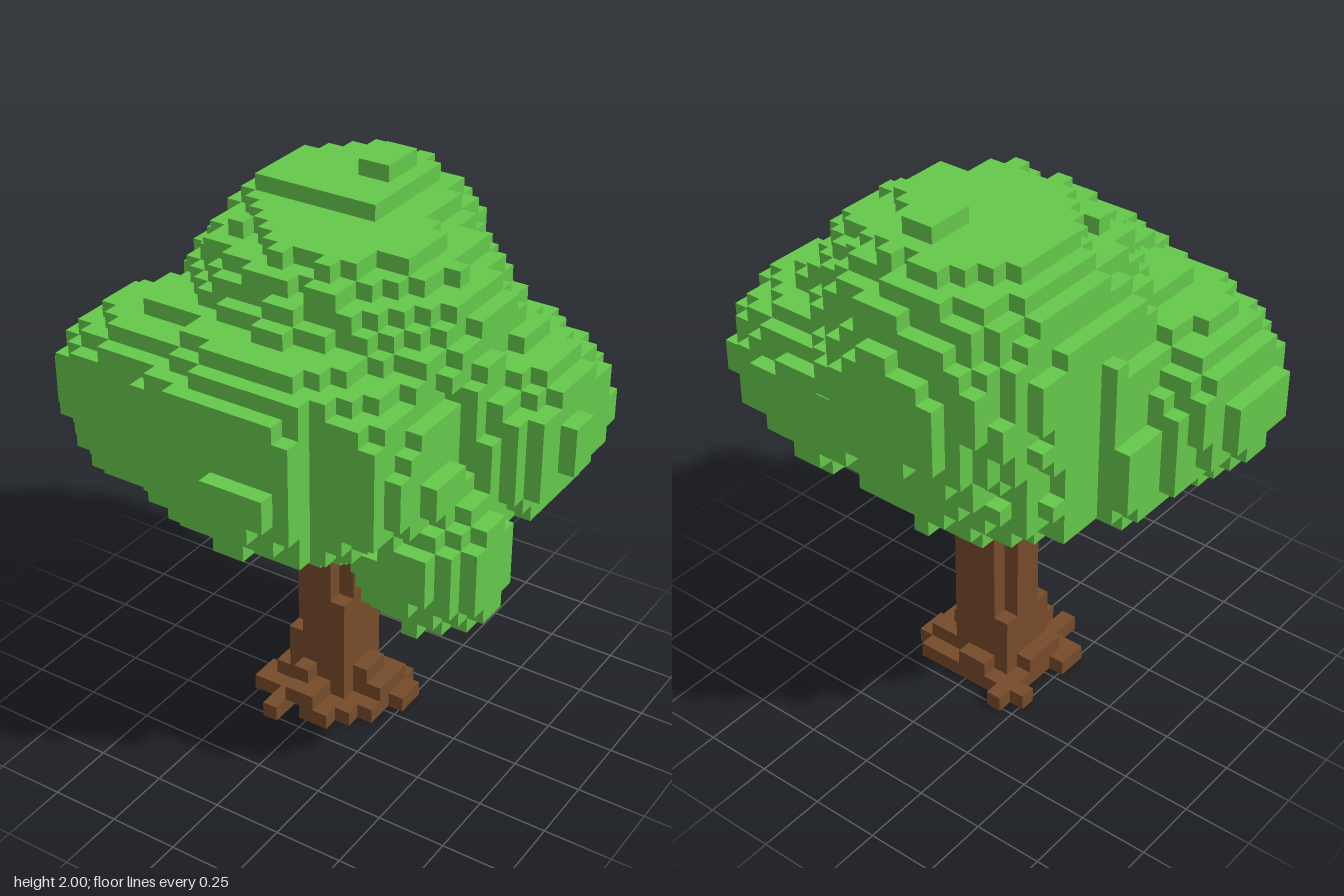
import * as THREE from 'three';

const U = 2 / 34; // edge of one cube

// Extents of the crown per layer: layer, xMin, xMax, zMin, zMax
const LAYERS = [
  [14, -1, 4, -5, 3], [15, -6, 7, -6, 6], [16, -11, 10, -9, 8], [17, -13, 12, -10, 11],
  [18, -14, 12, -10, 12], [19, -14, 13, -10, 12], [21, -14, 14, -11, 12], [22, -14, 14, -12, 11],
  [23, -13, 13, -12, 11], [25, -13, 12, -12, 11], [26, -13, 11, -12, 10], [27, -10, 10, -12, 10],
  [28, -9, 9, -12, 7], [30, -8, 8, -11, 6], [31, -7, 5, -10, 4], [32, -6, 1, -10, -2], [33, -1, 0, -7, -5],
];

// Crown outline from above: z, xMin, xMax
const OUTLINE = [
  [-12, -6, 1], [-11, -8, 4], [-10, -9, 10], [-9, -9, 12], [-7, -9, 13], [-4, -9, 13], [-3, -11, 14],
  [-2, -11, 14], [-1, -11, 13], [1, -13, 13], [2, -13, 11], [3, -14, 12], [5, -14, 12], [7, -14, 9],
  [8, -13, 9], [9, -11, 9], [10, -6, 4], [11, -3, 4], [12, 0, 3],
];

// Leafy lobes of the crown: centre x, y, z and radii x, y, z
const LOBES = [
  [-2, 25.5, -4.5, 8, 8.7, 8.2],      // top, leaning back
  [0, 23.5, -1, 10.5, 9.3, 9.2],      // middle
  [6, 21.3, -3.5, 8.8, 6, 7.2],       // left side
  [-6.5, 21.8, 4.5, 8.3, 6, 6.3],     // right side
  [0.5, 22, 5, 9.5, 6.8, 7.8],        // front
  [-0.5, 19.5, 0, 12, 5, 9.7],        // underside
  [-2, 20, -4, 8, 5, 6.6],            // lower back
];

// Rounded linear interpolation in a table sorted by its first column
function sample(table, t) {
  for (let n = 0; n < table.length - 1; n++) {
    const a = table[n], b = table[n + 1];
    if (t >= a[0] && t <= b[0]) {
      const f = (t - a[0]) / (b[0] - a[0]);
      return a.slice(1).map((v, m) => Math.round(v + (b[m + 1] - v) * f));
    }
  }
  return null;
}

// Repeatable noise, -1 to 1
function hash(x, y, z) {
  const s = Math.sin(x * 12.99 + y * 78.23 + z * 37.72) * 43758.55;
  return (s - Math.floor(s)) * 2 - 1;
}

// Main crown: bumpy lobes trimmed by the layer extents and the outline
function inCrown(x, y, z) {
  const e = sample(LAYERS, y), o = sample(OUTLINE, z);
  if (!e || !o) return false;
  if (x < Math.max(e[0], o[0]) || x > Math.min(e[1], o[1]) || z < e[2] || z > e[3]) return false;
  const limit = 1.02 + 0.07 * hash(Math.floor(x / 2), Math.floor(y / 2), Math.floor(z / 2));
  return LOBES.some(([cx, cy, cz, rx, ry, rz]) => ((x - cx) / rx) ** 2
    + ((y + 0.5 - cy) / ry) ** 2 + ((z - cz) / rz) ** 2 < limit);
}

// Low clump of leaves carried by the branch
function inClump(x, y, z) {
  const d = ((x - 8.5) / 4.3) ** 2 + ((y - 15.5) / 4.65) ** 2 + ((z - 3.5) / 3.9) ** 2;
  return d < 1 + 0.06 * hash(x, y, z);
}

// Surface mesh of all cubes accepted by a test
function voxelMesh(name, inside, material) {
  const positions = [], index = [];
  const corners = [[0, 0], [1, 0], [1, 1], [0, 1]];
  for (let x = -15; x <= 15; x++) for (let y = 0; y <= 34; y++) for (let z = -13; z <= 13; z++) {
    if (!inside(x, y, z)) continue;
    for (let axis = 0; axis < 3; axis++) for (const side of [-1, 1]) {
      const next = [x, y, z];
      next[axis] += side;
      if (inside(...next)) continue;
      const first = positions.length / 3;
      for (const [b, c] of corners) {
        const p = [x - 0.5, y, z - 0.5];
        p[axis] += side > 0 ? 1 : 0;
        p[(axis + 1) % 3] += b;
        p[(axis + 2) % 3] += c;
        positions.push(p[0] * U, p[1] * U, p[2] * U);
      }
      const order = side > 0 ? [0, 1, 2, 0, 2, 3] : [0, 2, 1, 0, 3, 2];
      index.push(...order.map((n) => first + n));
    }
  }
  const geometry = new THREE.BufferGeometry();
  geometry.setAttribute('position', new THREE.Float32BufferAttribute(positions, 3));
  geometry.setIndex(index);
  geometry.computeVertexNormals();
  const mesh = new THREE.Mesh(geometry, material);
  mesh.name = name;
  return mesh;
}

// Test for a list of blocks given as x0, x1, y0, y1, z0, z1 (inclusive)
const blocks = (list) => (x, y, z) => list.some(([a, b, c, d, e, f]) =>
  x >= a && x <= b && y >= c && y <= d && z >= e && z <= f);

export function createModel() {
  const bark = new THREE.MeshStandardMaterial({ color: 0x764b2a });
  bark.name = 'bark brown';
  const leaf = new THREE.MeshStandardMaterial({ color: 0x64c84b });
  leaf.name = 'leaf green';

  // Square trunk with notched corners
  const trunk = blocks([
    [-1, 0, 0, 14, -2, 1], [1, 1, 0, 13, -2, 0], [-2, -2, 0, 12, -1, 0],
    [-2, -2, 0, 4, -2, 1], [1, 1, 0, 7, 1, 1],
  ]);
  // Stepped roots spreading from the foot
  const roots = blocks([
    [-3, 3, 0, 0, -3, -1], [-3, 2, 0, 0, 0, 2], [-4, -4, 0, 0, -3, -3], [-4, -4, 0, 0, 1, 2],
    [4, 4, 0, 0, -2, -1], [-2, -2, 0, 0, 3, 4], [0, 1, 0, 0, 3, 3], [-3, -3, 0, 0, -4, -4],
    [3, 3, 0, 0, 0, 1], [-3, -3, 1, 1, -1, 1], [2, 3, 1, 1, -2, 0], [-1, 0, 1, 1, 2, 3],
    [-1, 0, 1, 1, -3, -3], [2, 2, 2, 2, -1, 0], [-1, -1, 2, 2, 2, 2],
  ]);
  // Side branch rising to the clump
  const branch = blocks([
    [2, 2, 10, 10, 0, 0], [2, 3, 11, 11, 0, 1], [2, 5, 12, 12, 0, 1], [4, 4, 13, 13, 1, 2],
  ]);

  const model = new THREE.Group();
  model.name = 'tree';
  model.add(
    voxelMesh('trunk', trunk, bark),
    voxelMesh('roots', (x, y, z) => roots(x, y, z) && !trunk(x, y, z), bark),
    voxelMesh('branch', branch, bark),
    voxelMesh('foliage', (x, y, z) => (inCrown(x, y, z) || inClump(x, y, z))
      && !trunk(x, y, z) && !branch(x, y, z), leaf),
  );
  return model;
}
